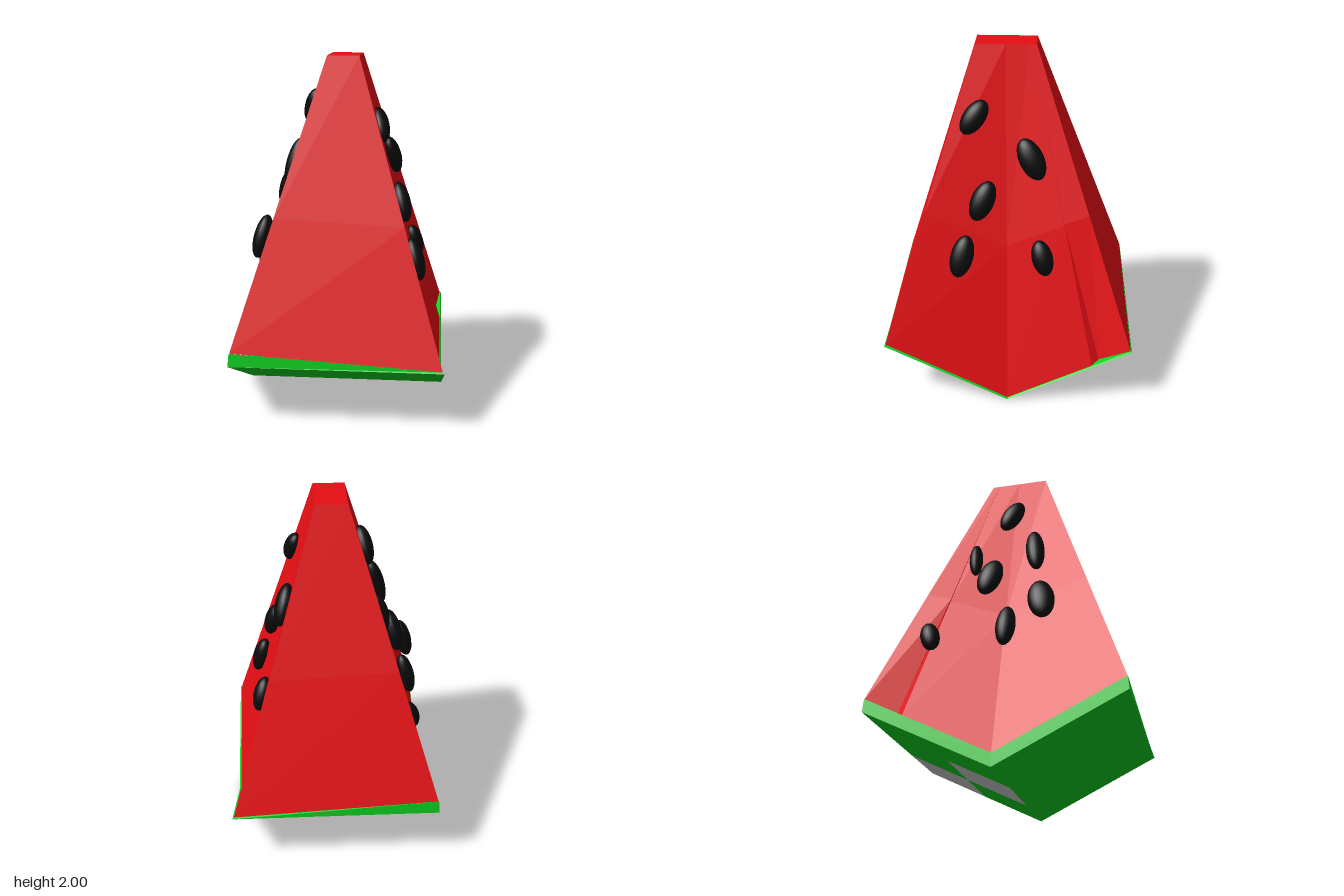
import * as THREE from 'three';

const material = (color) => new THREE.MeshStandardMaterial({ color });

// Flat-faced mesh from a list of quads, corners counter-clockwise from outside
function quadMesh(name, quads, mat) {
  const pos = [];
  for (const [a, b, c, d] of quads) for (const p of [a, b, c, a, c, d]) pos.push(...p);
  const geo = new THREE.BufferGeometry();
  geo.setAttribute('position', new THREE.Float32BufferAttribute(pos, 3));
  geo.computeVertexNormals();
  const mesh = new THREE.Mesh(geo, mat);
  mesh.name = name;
  return mesh;
}

// Quads joining consecutive closed rings, lowest ring first
function loft(rings) {
  const quads = [];
  for (let r = 0; r + 1 < rings.length; r++) {
    const lo = rings[r], hi = rings[r + 1];
    lo.forEach((p, i) => {
      const j = (i + 1) % lo.length;
      quads.push([p, lo[j], hi[j], hi[i]]);
    });
  }
  return quads;
}

// Closed ring: stations front to back on +x, then mirrored back to front on -x
const ring = (stations, point) => [
  ...stations.map((s) => point(s, 1)),
  ...[...stations].reverse().map((s) => point(s, -1)),
];

const HALF_X = 0.59, HALF_Z = 0.71;
const vee = (z) => (0.35 * Math.abs(z)) / HALF_Z;
const rindThickness = (x) => 0.042 - (0.034 * x) / HALF_X;

// Side stations: z at the base, z at the top, and inset of the small fold
const STATIONS = [
  { z: 0.71, top: 0.2, inset: 0 },
  { z: 0, top: 0.03, inset: 0 },
  { z: -0.49, top: -0.1, inset: 0 },
  { z: -0.53, top: -0.1, inset: 0.035, fold: true },
  { z: -0.71, top: -0.14, inset: 0 },
];

function fleshPoint(s, side, t) {
  const zBase = s.z * 0.99;
  const fade = Math.max(0, 1 - t / 0.45);
  const z0 = s.fold ? -0.485 + (zBase + 0.485) * fade : zBase;
  const x = 0.58 + (0.09 - 0.58) * t - s.inset * fade;
  const y0 = vee(s.z) + rindThickness(side * HALF_X);
  return [side * x, y0 + (2 - y0) * t, z0 + (s.top - z0) * t];
}

export function createModel() {
  const model = new THREE.Group();
  const red = material(0xe60e14);
  const green = material(0x0fcf20);
  const grey = material(0xcccccc);
  const black = material(0x0b0b0b);

  // Flesh: tapering wedge with hollowed sides and a flat tip
  const rings = [0, 0.45, 1].map((t) => ring(STATIONS, (s, side) => fleshPoint(s, side, t)));
  const tip = rings[2], n = tip.length;
  const flesh = loft(rings);
  for (let i = 0; i + 1 < STATIONS.length; i++) {
    flesh.push([tip[i], tip[i + 1], tip[n - 2 - i], tip[n - 1 - i]]);
  }
  model.add(quadMesh('flesh', flesh, red));

  // Rind: V-shaped slab, thicker towards -x
  const lower = ring(STATIONS, (s, side) => [side * HALF_X, vee(s.z), s.z]);
  const upper = ring(STATIONS, (s, side) => [
    side * 0.583, vee(s.z) + rindThickness(side * HALF_X), s.z * 0.992,
  ]);
  const rind = loft([lower, upper]);
  for (let i = 0; i + 1 < STATIONS.length; i++) {
    rind.push([upper[i], upper[i + 1], upper[n - 2 - i], upper[n - 1 - i]]);
  }

  // Underside in cells, two of them pale
  const patches = [];
  const under = (i, j) => {
    const z = HALF_Z * (1 - j / 2);
    return [HALF_X * (1 - (2 * i) / 3), vee(z), z];
  };
  for (let i = 0; i < 3; i++) {
    for (let j = 0; j < 4; j++) {
      const pale = (i === 0 && j === 3) || (i === 1 && j === 2);
      (pale ? patches : rind).push([under(i, j), under(i + 1, j), under(i + 1, j + 1), under(i, j + 1)]);
    }
  }
  model.add(quadMesh('rind', rind, green));
  model.add(quadMesh('palePatches', patches, grey));

  // Seeds: x, y, z, half length, half width, tilt
  const seeds = [
    [0.21, 1.62, 0.2, 0.11, 0.062, -0.6],
    [0.27, 1.4, -0.12, 0.125, 0.07, 0.45],
    [0.335, 1.17, 0.15, 0.12, 0.066, -0.4],
    [0.42, 0.86, 0.265, 0.125, 0.065, -0.25],
    [0.41, 0.855, -0.19, 0.105, 0.06, 0.25],
    [-0.19, 1.7, 0.01, 0.115, 0.06, 0.45],
    [-0.28, 1.39, 0.17, 0.15, 0.055, -0.1],
    [-0.27, 1.37, -0.19, 0.12, 0.04, -0.05],
    [-0.36, 1.2, -0.08, 0.125, 0.07, 0.25],
    [-0.465, 0.97, 0.24, 0.13, 0.075, -0.15],
    [-0.465, 0.83, 0.04, 0.13, 0.055, 0.05],
    [-0.44, 0.82, -0.4, 0.095, 0.055, -0.25],
  ];
  const seedGeo = new THREE.SphereGeometry(1, 20, 14);
  const seedGroup = new THREE.Group();
  seedGroup.name = 'seeds';
  for (const [x, y, z, length, width, tilt] of seeds) {
    const seed = new THREE.Mesh(seedGeo, black);
    seed.name = 'seed';
    seed.position.set(x, y, z);
    seed.scale.set(0.05, length, width);
    // Lean with the sloping side after tilting within it
    seed.rotation.set(tilt, 0, Math.sign(x) * 0.26, 'ZYX');
    seedGroup.add(seed);
  }
  model.add(seedGroup);
  return model;
}
